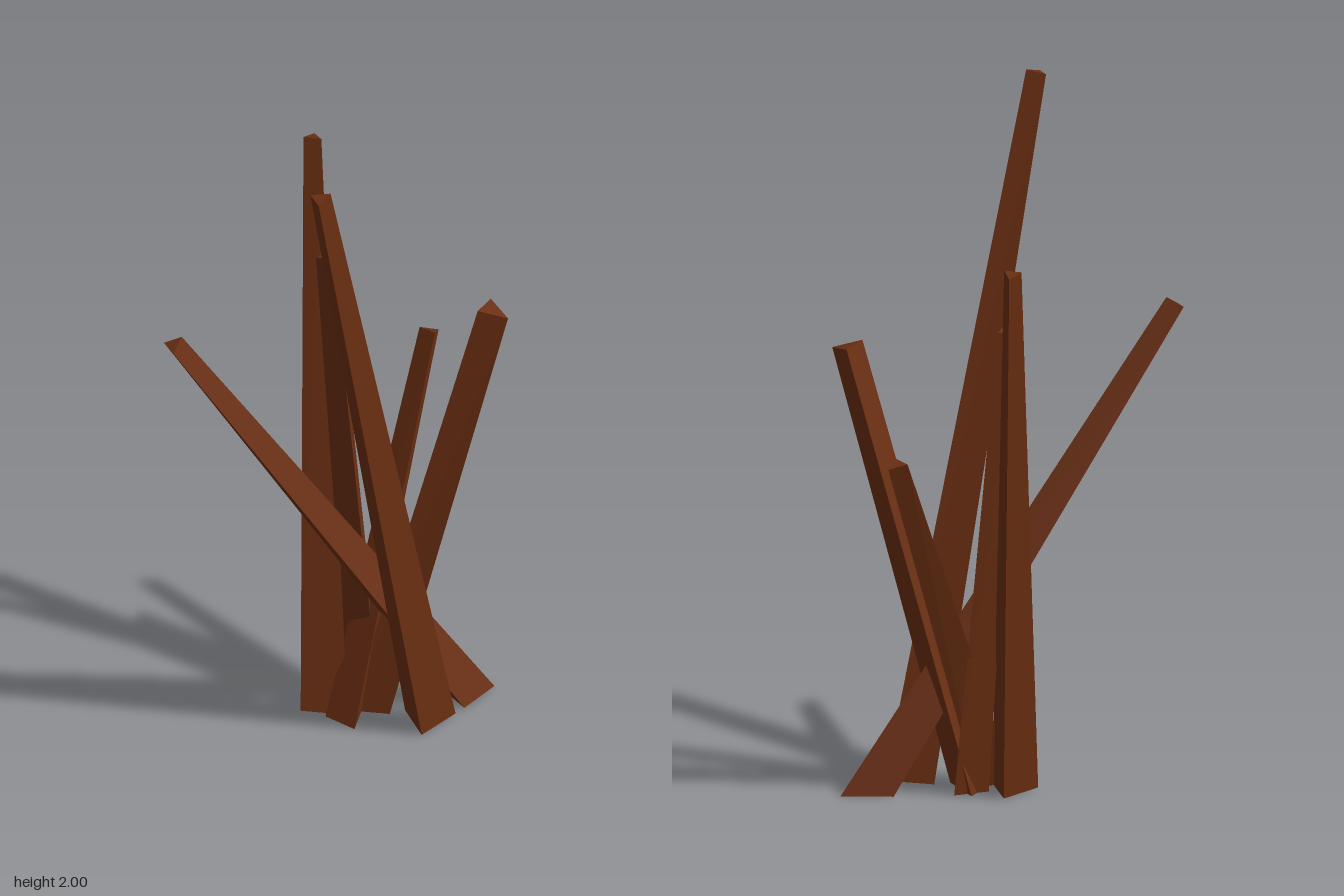
import * as THREE from 'three';

const bark = new THREE.MeshStandardMaterial({ color: 0x6b2f12, flatShading: true });

// Each stick is a tapered three-sided prism: base corners [x, z], tip corners [x, y, z]
const sticks = {
  tallFrontStick: {
    base: [[0.235, -0.245], [0.235, -0.09], [0.11, -0.17]],
    tip: [[0.25, 2, 0.345], [0.25, 1.985, 0.4], [0.2, 1.99, 0.375]],
  },
  leaningFrontStick: {
    base: [[0.115, -0.33], [0.235, -0.285], [0.225, -0.435]],
    tip: [[-0.26, 1.375, 0.47], [-0.205, 1.37, 0.495], [-0.215, 1.4, 0.445]],
  },
  backRightStick: {
    base: [[-0.12, -0.12], [-0.12, 0.02], [0, -0.045]],
    tip: [[-0.35, 1.67, -0.33], [-0.35, 1.68, -0.28], [-0.303, 1.68, -0.303]],
  },
  shortBackStick: {
    base: [[0.01, -0.1], [-0.045, 0], [0.065, 0.005]],
    tip: [[-0.03, 1.06, -0.498], [-0.065, 1.075, -0.455], [-0.005, 1.08, -0.45]],
  },
  uprightStick: {
    base: [[0, -0.2], [-0.045, -0.105], [0.06, -0.12]],
    tip: [[-0.152, 1.425, -0.175], [-0.18, 1.415, -0.125], [-0.125, 1.425, -0.13]],
  },
  backLeftStick: {
    base: [[-0.04, -0.17], [-0.01, -0.07], [0.09, -0.125]],
    tip: [[0.26, 1.325, -0.375], [0.28, 1.33, -0.29], [0.347, 1.305, -0.345]],
  },
};

function stickGeometry(base, tip) {
  const low = base.map(([x, z]) => new THREE.Vector3(x, 0, z));
  const high = tip.map((p) => new THREE.Vector3(...p));
  // Keep corners counter-clockwise from above so all faces point outward
  const up = high[1].clone().sub(high[0]).cross(high[2].clone().sub(high[0])).y;
  if (up < 0) { low.reverse(); high.reverse(); }
  const points = [low[2], low[1], low[0], ...high];
  for (let i = 0; i < 3; i++) {
    const j = (i + 1) % 3;
    points.push(low[i], low[j], high[j], low[i], high[j], high[i]);
  }
  const geometry = new THREE.BufferGeometry().setFromPoints(points);
  geometry.computeVertexNormals();
  return geometry;
}

export function createModel() {
  const group = new THREE.Group();
  group.name = 'stickBundle';
  for (const [name, { base, tip }] of Object.entries(sticks)) {
    const mesh = new THREE.Mesh(stickGeometry(base, tip), bark);
    mesh.name = name;
    group.add(mesh);
  }
  return group;
}
